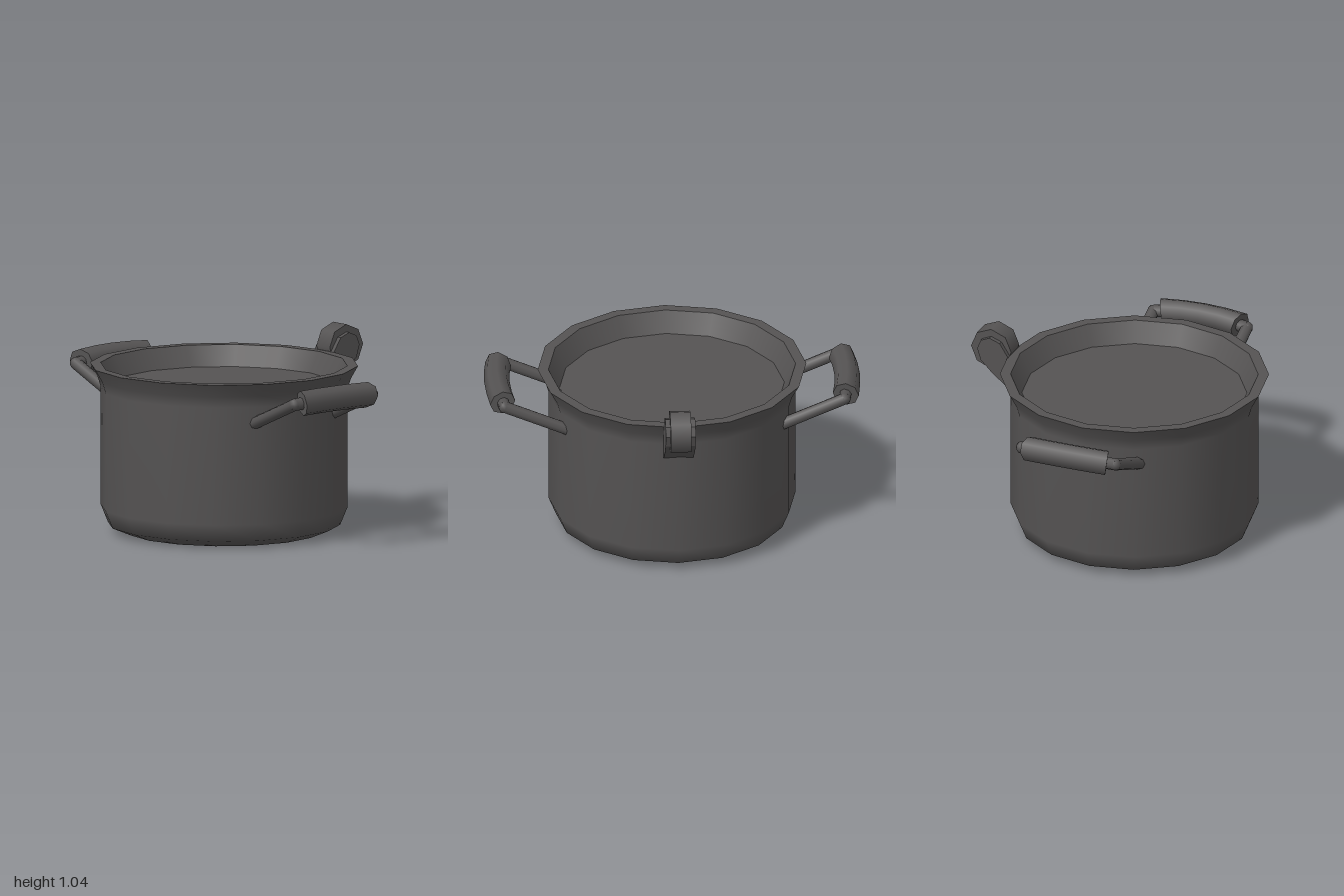
import * as THREE from 'three';

const material = new THREE.MeshStandardMaterial({ color: 0x555353 });
const POT_Z = 0.1; // the pot sits forward, balancing the hook at the back

function part(name, geometry, parent) {
  const mesh = new THREE.Mesh(geometry, material);
  mesh.name = name;
  parent.add(mesh);
  return mesh;
}

// 16-sided surface of revolution from [radius, height] pairs
function lathe(points) {
  return new THREE.LatheGeometry(points.map(([r, y]) => new THREE.Vector2(r, y)), 16);
}

// Round bar between two points
function bar(name, a, b, radius, parent) {
  const dir = b.clone().sub(a);
  const mesh = part(name, new THREE.CylinderGeometry(radius, radius, dir.length(), 8), parent);
  mesh.position.copy(a).addScaledVector(dir, 0.5);
  mesh.quaternion.setFromUnitVectors(new THREE.Vector3(0, 1, 0), dir.normalize());
}

// Eight-sided grip bowed outward along x, with ends cut square to the bow
function gripGeometry(radius, halfLength, bow) {
  const geometry = new THREE.CylinderGeometry(radius, radius, halfLength * 2, 8, 4);
  geometry.rotateY(Math.PI / 8);
  geometry.rotateX(Math.PI / 2);
  const pos = geometry.attributes.position;
  for (let i = 0; i < pos.count; i++) {
    const t = pos.getZ(i) / halfLength;
    const x = pos.getX(i);
    pos.setX(i, x + bow * (1 - t * t));
    pos.setZ(i, pos.getZ(i) + t * x * 0.36);
  }
  return geometry;
}

// Handle lies in its own xz plane, then tilts upward away from the wall
function createHandle(name) {
  const side = new THREE.Group();
  side.name = name;
  const tilted = new THREE.Group();
  tilted.position.set(0.588, 0.685, 0);
  tilted.rotation.z = THREE.MathUtils.degToRad(23);
  side.add(tilted);

  const r = 0.033;
  for (const s of [-1, 1]) {
    const root = new THREE.Vector3(-0.03, 0, 0.27 * s);
    const corner = new THREE.Vector3(0.347, 0, 0.27 * s);
    const end = new THREE.Vector3(0.36, 0, 0.19 * s);
    bar('handleArm', root, corner, r, tilted);
    bar('handleTurn', corner, end, r, tilted);
    part('handleCorner', new THREE.SphereGeometry(r, 8, 6), tilted).position.copy(corner);
  }
  part('grip', gripGeometry(0.068, 0.225, 0.02), tilted).position.x = 0.356;
  return side;
}

// Hook bracket at the back: a wedge arm holding a narrower, larger roller
function createHook() {
  const hook = new THREE.Group();
  hook.name = 'hook';
  const profile = [
    [0.62, 0.665], [0.783, 0.789], [0.855, 0.86], [0.875, 0.925],
    [0.855, 0.975], [0.805, 0.997], [0.745, 0.975], [0.62, 0.78],
  ];
  const shape = new THREE.Shape(profile.map(([d, y]) => new THREE.Vector2(d, y)));
  const width = 0.16;
  const arm = new THREE.ExtrudeGeometry(shape, { depth: width, bevelEnabled: false });
  arm.translate(0, 0, -width / 2);
  arm.rotateY(Math.PI / 2);
  part('hookArm', arm, hook);

  const roller = new THREE.CylinderGeometry(0.116, 0.116, 0.11, 8);
  roller.rotateZ(Math.PI / 2);
  part('hookRoller', roller, hook).position.set(0, 0.922, -0.805);
  return hook;
}

export function createModel() {
  const model = new THREE.Group();
  model.name = 'cookingPot';
  const pot = new THREE.Group();
  pot.name = 'pot';
  pot.position.z = POT_Z;
  model.add(pot);

  // Body, split at its sharp edges
  part('outerWall', lathe([
    [0, 0], [0.52, 0], [0.622, 0.042], [0.66, 0.135],
    [0.66, 0.77], [0.678, 0.83], [0.717, 0.9],
  ]), pot);
  part('rim', lathe([[0.717, 0.9], [0.66, 0.9]]), pot);
  part('innerWall', lathe([[0.66, 0.9], [0.6, 0.79]]), pot);
  part('contents', lathe([[0.6, 0.79], [0, 0.79]]), pot);

  // Side handles
  pot.add(createHandle('leftHandle'));
  const rightHandle = createHandle('rightHandle');
  rightHandle.rotation.y = Math.PI;
  pot.add(rightHandle);

  pot.add(createHook());
  return model;
}
